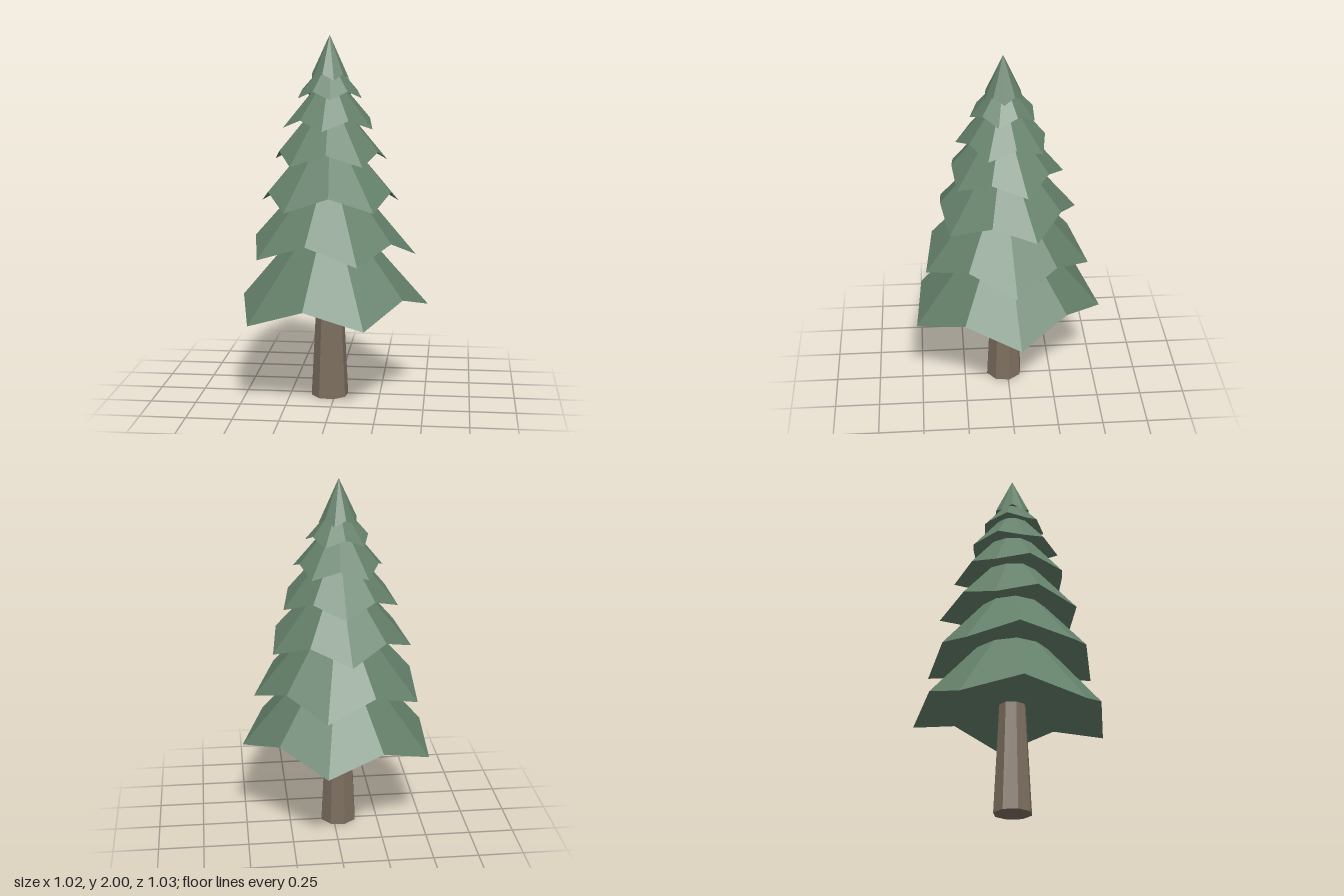
import * as THREE from 'three';

const CX = -0.03, CZ = 0.02; // trunk axis

// One star-shaped bough skirt: five drooping tips, five raised notches, closed below.
// tiltX and tiltZ lean the rim slightly, so that the tiers sit unevenly.
function boughTier({ tipR, notchR, tipY, notchY, apexY, phase, tiltX = 0, tiltZ = 0 }) {
  const ring = [];
  for (let i = 0; i < 10; i++) {
    const a = THREE.MathUtils.degToRad(phase + i * 36);
    const isTip = i % 2 === 0;
    const r = isTip ? tipR : notchR;
    const x = Math.cos(a) * r, z = Math.sin(a) * r;
    ring.push([x, (isTip ? tipY : notchY) + tiltX * x + tiltZ * z, z]);
  }
  const apex = [0, apexY, 0], under = [0, notchY, 0];
  const top = [], bottom = [];
  ring.forEach((p, i) => {
    const next = ring[(i + 1) % 10];
    top.push(...apex, ...next, ...p);
    if (i % 2 === 0) {
      const prev = ring[(i + 9) % 10];
      bottom.push(...prev, ...p, ...next); // folded-down tip
      bottom.push(...under, ...prev, ...next); // flat middle
    }
  });
  const geo = new THREE.BufferGeometry();
  geo.setAttribute('position', new THREE.Float32BufferAttribute([...top, ...bottom], 3));
  geo.computeVertexNormals();
  // Even shade on the underside
  const normal = geo.getAttribute('normal');
  for (let i = top.length / 3; i < normal.count; i++) normal.setXYZ(i, 0, -1, 0);
  return geo;
}

export function createModel() {
  const needles = new THREE.MeshStandardMaterial({ name: 'needle green', color: 0x64806a });
  const bark = new THREE.MeshStandardMaterial({ name: 'bark brown', color: 0x7c6e5f, flatShading: true });

  const tree = new THREE.Group();
  tree.name = 'pineTree';

  // Tapered eight-sided trunk
  const trunk = new THREE.Mesh(
    new THREE.CylinderGeometry(0.071, 0.104, 0.64, 8, 1, false, THREE.MathUtils.degToRad(15)), bark);
  trunk.name = 'trunk';
  trunk.position.set(CX, 0.32, CZ);
  tree.add(trunk);

  // Bough tiers from bottom to top
  const tiers = [
    { tipR: 0.546, notchR: 0.477, tipY: 0.499, notchY: 0.597, apexY: 1.14, phase: -6.5, tiltX: 0.034, tiltZ: -0.018 },
    { tipR: 0.474, notchR: 0.407, tipY: 0.812, notchY: 0.905, apexY: 1.37, phase: -5.2, tiltX: -0.015, tiltZ: 0.028 },
    { tipR: 0.4, notchR: 0.348, tipY: 1.085, notchY: 1.165, apexY: 1.555, phase: -22.7 },
    { tipR: 0.325, notchR: 0.28, tipY: 1.32, notchY: 1.383, apexY: 1.71, phase: -19.6 },
    { tipR: 0.256, notchR: 0.221, tipY: 1.505, notchY: 1.555, apexY: 1.815, phase: 21.5 },
    { tipR: 0.18, notchR: 0.157, tipY: 1.665, notchY: 1.705, apexY: 1.88, phase: 11 },
    { tipR: 0.107, notchR: 0.096, tipY: 1.762, notchY: 1.794, apexY: 2, phase: 0 },
  ];
  tiers.forEach((t, i) => {
    const mesh = new THREE.Mesh(boughTier(t), needles);
    mesh.name = `boughTier${i + 1}`;
    mesh.position.set(CX, 0, CZ);
    tree.add(mesh);
  });
  return tree;
}
